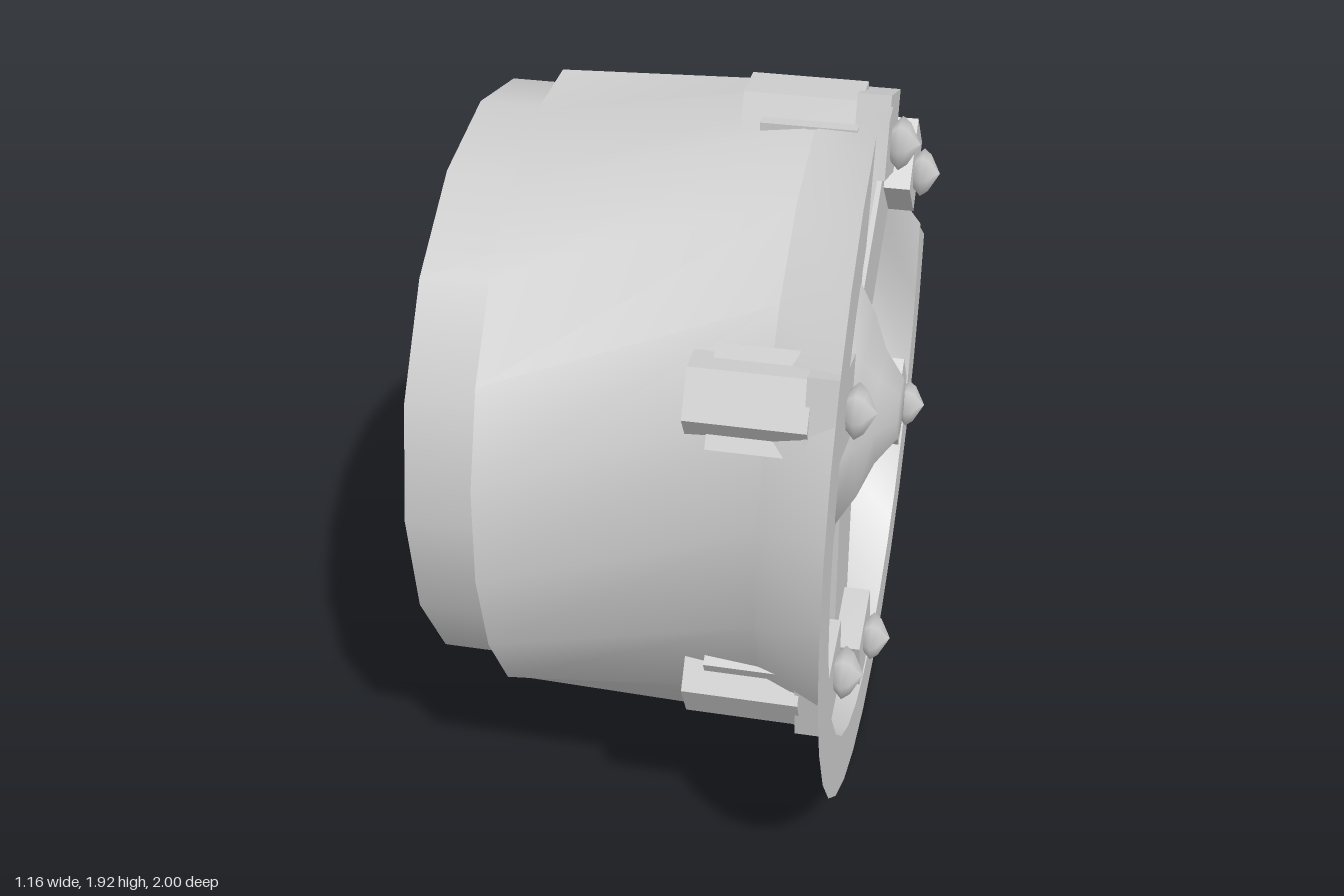
import * as THREE from 'three';

const rad = THREE.MathUtils.degToRad;

export function createModel() {
  const model = new THREE.Group();
  model.name = 'brokenWheel';
  const wheel = new THREE.Group();
  wheel.name = 'wheel';
  wheel.position.y = 1;
  model.add(wheel);

  const metal = new THREE.MeshStandardMaterial({ color: 0xcccccc });
  metal.name = 'greyMetal';
  const sheet = new THREE.MeshStandardMaterial({ color: 0xcccccc, side: THREE.DoubleSide });
  sheet.name = 'greySheetMetal';

  const add = (name, geometry, material = metal, parent = wheel) => {
    const mesh = new THREE.Mesh(geometry, material);
    mesh.name = name;
    parent.add(mesh);
    return mesh;
  };

  // Point around the axle: angle 0 is +z, 90 is up
  const polar = (x, r, deg) => [x, r * Math.sin(rad(deg)), r * Math.cos(rad(deg))];

  // Sheet from a rule over u, v in 0..1
  const grid = (rule, nu, nv) => {
    const pos = [], idx = [];
    for (let i = 0; i <= nu; i++)
      for (let j = 0; j <= nv; j++) pos.push(...rule(i / nu, j / nv));
    for (let i = 0; i < nu; i++)
      for (let j = 0; j < nv; j++) {
        const a = i * (nv + 1) + j, b = a + nv + 1;
        idx.push(a, b, a + 1, b, b + 1, a + 1);
      }
    const g = new THREE.BufferGeometry();
    g.setAttribute('position', new THREE.Float32BufferAttribute(pos, 3));
    g.setIndex(idx);
    g.computeVertexNormals();
    return g;
  };

  // Turned part: points are [radius, x], listed from back to front
  const turned = (points, sides, start = 0) =>
    new THREE.LatheGeometry(points.map(([r, x]) => new THREE.Vector2(r, x)), sides, start)
      .rotateZ(-Math.PI / 2);

  // Drum, open at the front, with a closed back
  add('drumWall', turned([[0.75, -0.51], [0.75, 0.05]], 16));
  add('drumBack', new THREE.CircleGeometry(0.75, 16).rotateY(-Math.PI / 2).translate(-0.51, 0, 0));
  add('rearHub', new THREE.CylinderGeometry(0.345, 0.345, 0.07, 8)
    .rotateZ(-Math.PI / 2).translate(-0.545, 0, 0));

  // Torn outer shell: each ring is [x, radius, start angle, end angle]
  const rings = [
    [-0.325, 0.815, 97, -217],
    [0.34, 0.815, 119, -212],
    [0.515, 0.86, 85, -187],
  ];
  for (let k = 0; k < 2; k++) {
    add(k ? 'shellFlare' : 'outerShell', grid((u, v) => {
      const [x, r, a, b] = rings[k].map((n, i) => n + (rings[k + 1][i] - n) * v);
      return polar(x, r, a + (b - a) * u);
    }, 18, 1), sheet);
  }

  // Flat broken flange at the front rim
  add('rimFlange', grid((u, v) => {
    const a = 55.5 + (67 - 55.5) * v, b = -187 + 7 * v;
    return polar(0.515, 0.845 + 0.155 * v, a + (b - a) * u);
  }, 22, 1), sheet);

  // Domed hub cap
  add('hubCap', turned([[0.34, 0.36], [0.335, 0.43], [0.24, 0.485], [0.15, 0.52], [0.08, 0.57], [0, 0.57]],
    7, rad(-4)));

  // Bracket section across the shell
  const section = new THREE.Shape();
  section.moveTo(-0.11, 0.76);
  section.lineTo(0.11, 0.76);
  section.lineTo(0.06, 0.86);
  section.lineTo(-0.06, 0.86);
  const bracket = new THREE.ExtrudeGeometry(section, { depth: 0.28, bevelEnabled: false })
    .rotateY(Math.PI / 2).translate(0.16, 0, 0);

  const spoke = new THREE.BoxGeometry(0.23, 0.61, 0.24).translate(0.325, 0.505, 0);
  const block = new THREE.BoxGeometry(0.08, 0.2, 0.2);
  const bolt = turned([[0.035, 0.5], [0.065, 0.53], [0.05, 0.55], [0, 0.578]], 6);
  const smallBolt = turned([[0.07, 0.27], [0.07, 0.35], [0.04, 0.385], [0, 0.395]], 6);

  // Concave web between two spokes, sloping back to a sagging rim
  const web = grid((u, v) => {
    const t = 2 * u - 1;
    const r = 0.25 + (0.41 + 0.13 * t * t) * v;
    return polar(0.38 - 0.17 * Math.pow(v, 0.8), r, 90 + 30 * t);
  }, 10, 5);

  for (let k = 0; k < 6; k++) {
    const arm = new THREE.Group();
    arm.name = 'spokeAssembly';
    arm.rotation.x = rad(60 * k);
    wheel.add(arm);
    add('spoke', spoke, metal, arm);
    add('shellBracket', bracket, metal, arm);
    const nut = add('boltBlock', block, metal, arm);
    nut.position.set(0.47, 0.755, 0);
    nut.rotation.x = rad(k % 2 ? 18 : -18);
    add('rimBolt', bolt, metal, arm).position.y = 0.735;

    const panel = new THREE.Group();
    panel.name = 'webAssembly';
    panel.rotation.x = rad(60 * k + 30);
    wheel.add(panel);
    add('web', web, sheet, panel);
    add('webBolt', smallBolt, metal, panel).position.y = 0.445;
  }
  return model;
}
